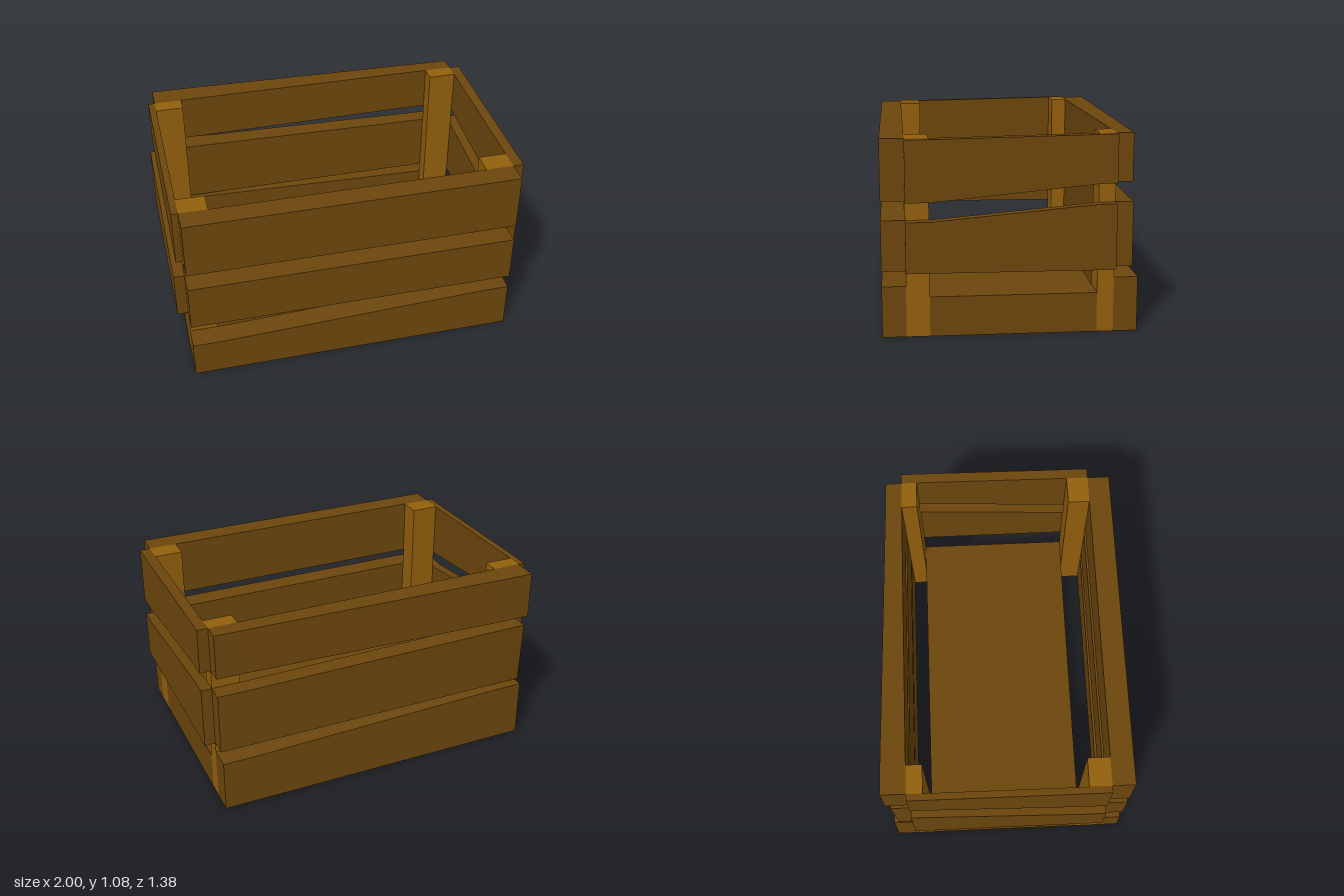
import * as THREE from 'three';

const wood = new THREE.MeshStandardMaterial({ color: 0x6c460c });
wood.name = 'brown wood';
const postWood = new THREE.MeshStandardMaterial({ color: 0x925f0d });
postWood.name = 'light wood';

const X = 0.94, POST_X = 0.78;            // crate half width, inner face of posts
const FRONT = 0.56, FRONT_IN = 0.435;     // front posts
const BACK = -0.55, BACK_IN = -0.46;      // back posts

// Uneven board lofted through stations [position, bottom, top, outerTop, outerBottom];
// 'inner' is the face against the posts, 'axis' the direction the board runs.
function board(name, axis, inner, stations) {
  const rings = stations.map(([p, y0, y1, oTop, oBot = oTop]) =>
    [[inner, y0], [oBot, y0], [oTop, y1], [inner, y1]].map(([d, y]) =>
      axis === 'x' ? new THREE.Vector3(p, y, d) : new THREE.Vector3(d, y, p)));
  const tris = [];
  const quad = (a, b, c, d) => tris.push([a, b, c], [a, c, d]);
  for (let i = 0; i < rings.length - 1; i++) {
    for (let k = 0; k < 4; k++) {
      const n = (k + 1) % 4;
      quad(rings[i][k], rings[i][n], rings[i + 1][n], rings[i + 1][k]);
    }
  }
  const first = rings[0], last = rings[rings.length - 1];
  quad(first[3], first[2], first[1], first[0]);
  quad(last[0], last[1], last[2], last[3]);
  // Turn all faces outwards if the loft came out inverted
  const volume = tris.reduce((s, [a, b, c]) => s + a.dot(b.clone().cross(c)), 0);
  if (volume < 0) tris.forEach((t) => t.reverse());
  const geometry = new THREE.BufferGeometry().setFromPoints(tris.flat());
  geometry.computeVertexNormals();
  const mesh = new THREE.Mesh(geometry, wood);
  mesh.name = name;
  return mesh;
}

function block(name, material, x0, x1, y0, y1, z0, z1) {
  const mesh = new THREE.Mesh(new THREE.BoxGeometry(x1 - x0, y1 - y0, z1 - z0), material);
  mesh.position.set((x0 + x1) / 2, (y0 + y1) / 2, (z0 + z1) / 2);
  mesh.name = name;
  return mesh;
}

export function createModel() {
  const crate = new THREE.Group();
  crate.name = 'crate';

  // Thick floor, leaving slots between the posts
  crate.add(block('floor', wood, -X, X, 0, 0.217, BACK_IN, FRONT_IN));

  // Four corner posts
  for (const s of [-1, 1]) {
    const x0 = s < 0 ? -X : POST_X, x1 = s < 0 ? -POST_X : X;
    crate.add(block('frontPost', postWood, x0, x1, 0, 1.063, FRONT_IN, FRONT));
    crate.add(block('backPost', postWood, x0, x1, 0, 1.079, BACK, BACK_IN));
  }

  // Front boards
  const zf = 0.688;
  crate.add(board('frontLowerBoard', 'x', FRONT, [
    [-X, 0, 0.217, zf], [-POST_X, 0, 0.217, zf], [POST_X, 0, 0.278, zf], [X, 0, 0.278, zf]]));
  crate.add(board('frontMiddleBoard', 'x', FRONT, [[-X, 0.36, 0.633, zf], [X, 0.36, 0.633, zf]]));
  crate.add(board('frontUpperBoard', 'x', FRONT, [[-X, 0.735, 1.063, zf], [X, 0.735, 1.063, zf]]));

  // Back boards, slightly skewed
  crate.add(board('backLowerBoard', 'x', BACK, [
    [-X, 0, 0.34, -0.68], [-POST_X, 0, 0.34, -0.68], [POST_X, 0, 0.3, -0.68], [X, 0, 0.3, -0.68]]));
  crate.add(board('backMiddleBoard', 'x', BACK, [
    [-X, 0.36, 0.735, -0.665, -0.65], [-POST_X, 0.36, 0.735, -0.665, -0.65],
    [POST_X, 0.36, 0.712, -0.648], [X, 0.36, 0.712, -0.648]]));
  crate.add(board('backUpperBoard', 'x', BACK, [
    [-X, 0.807, 1.079, -0.69], [-POST_X, 0.807, 1.079, -0.688],
    [POST_X, 0.82, 1.079, -0.645], [X, 0.82, 1.079, -0.642]]));

  // Side boards, rising towards the back
  for (const s of [-1, 1]) {
    const side = s < 0 ? 'right' : 'left';
    const rise = s < 0 ? 0.735 : 0.712;
    const upperOut = s < 0 ? -0.978 : 1;
    crate.add(board(side + 'MiddleBoard', 'z', s * X, [
      [FRONT, 0.36, 0.633, s], [FRONT_IN, 0.36, 0.633, s],
      [BACK_IN, 0.357, rise, s], [BACK, 0.357, rise, s]]));
    crate.add(board(side + 'UpperBoard', 'z', s * X, [
      [FRONT, 0.735, 1.063, upperOut], [FRONT_IN, 0.735, 1.063, upperOut],
      [BACK_IN, 0.82, 1.079, upperOut], [BACK, 0.82, 1.079, upperOut]]));
  }
  return crate;
}
